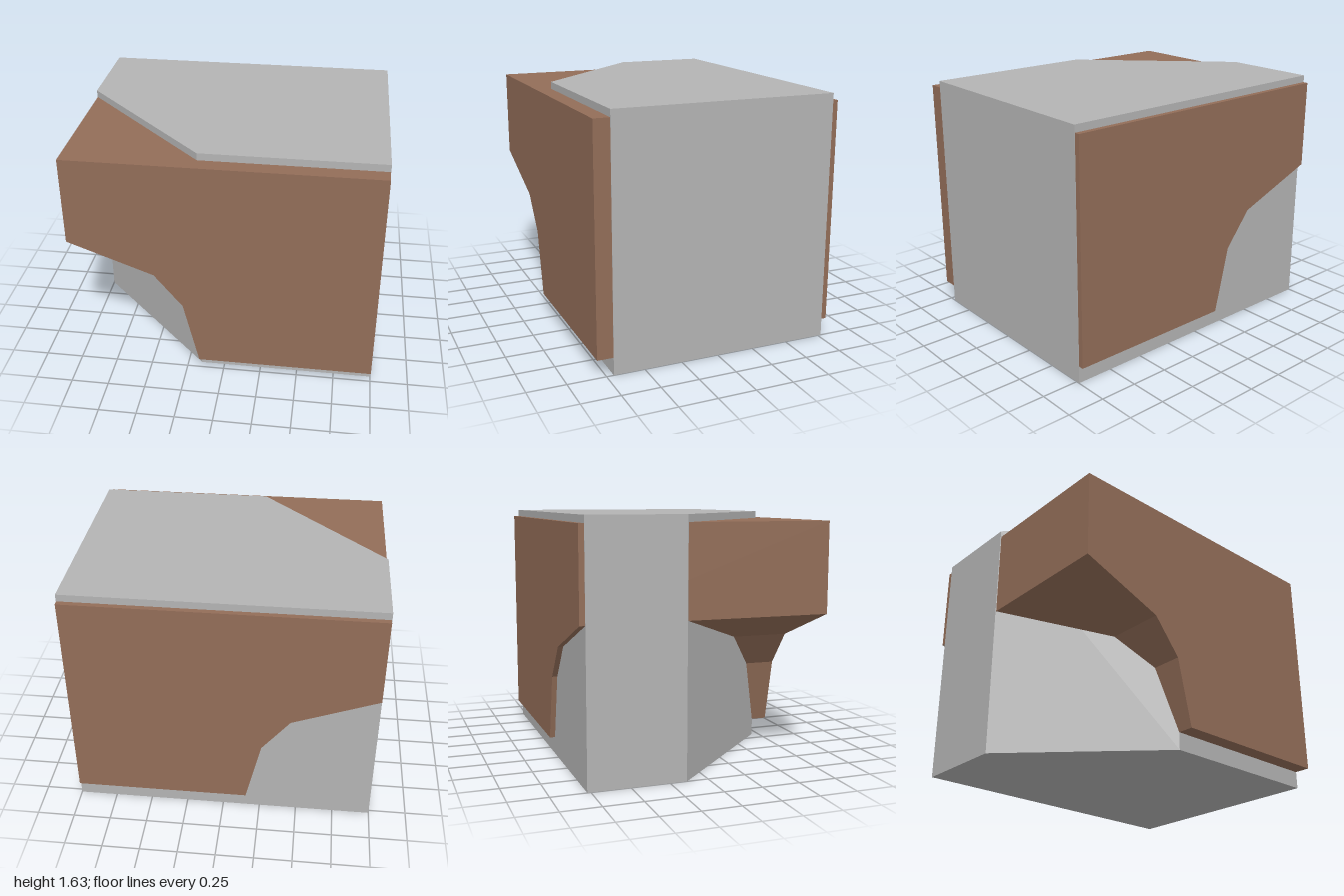
import * as THREE from 'three';

// Straight prism from a counter-clockwise outline, extruded along z
function prism(points, depth) {
  const shape = new THREE.Shape(points.map(([x, y]) => new THREE.Vector2(x, y)));
  return new THREE.ExtrudeGeometry(shape, { depth, bevelEnabled: false });
}

export function createModel() {
  const group = new THREE.Group();
  const grey = new THREE.MeshStandardMaterial({ color: 0xb3b3b3 });
  grey.name = 'grey';
  const brown = new THREE.MeshStandardMaterial({ color: 0x926d58 });
  brown.name = 'brown';

  // Upright block with one chamfered corner; outline is (x, -z)
  const block = prism([
    [-1, 0.14], [-0.157, -0.703], [1, -0.703], [1, 0.773], [-1, 0.773],
  ], 1.63);
  block.rotateX(-Math.PI / 2);
  const core = new THREE.Mesh(block, grey);
  core.name = 'chamferedBlock';

  // Bracket-shaped body running through the block from front to back
  const e = 0.997;
  const body = prism([
    [-e, 1.583], [-e, 0.996], [-0.44, 0.785], [-0.257, 0.555],
    [-0.157, 0.115], [e, 0.115], [e, 1.583],
  ], 1.616);
  body.translate(0, 0, -0.808);
  const bracket = new THREE.Mesh(body, brown);
  bracket.name = 'bracketBody';

  group.add(core, bracket);
  return group;
}
